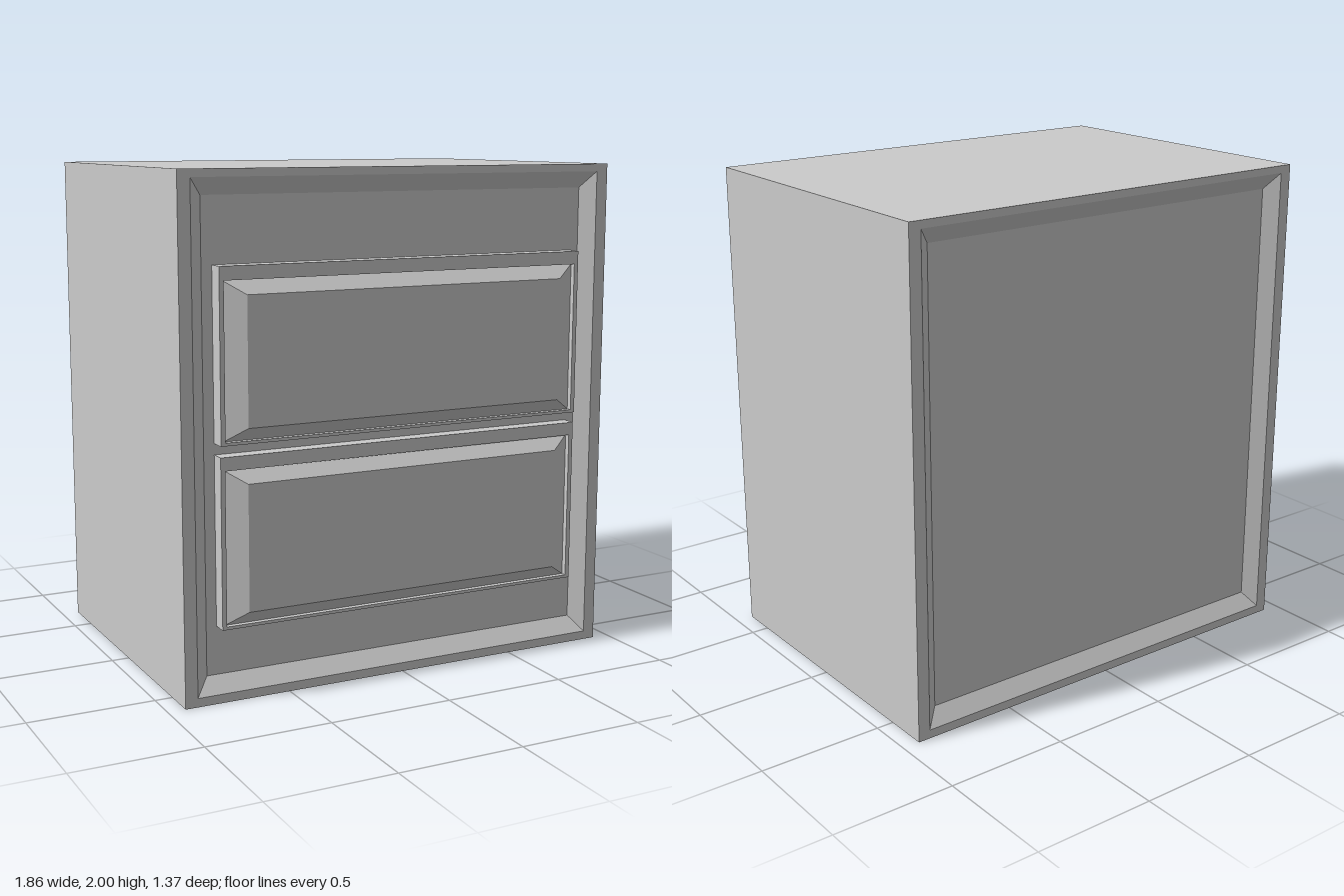
import * as THREE from 'three';

const material = new THREE.MeshStandardMaterial({ color: 0xcccccc, flatShading: true });

// Skin a back-to-front series of rectangles [halfWidth, bottom, top, z] and cap both ends.
function rectLoft(name, sections) {
  const rings = sections.map(([w, y0, y1, z]) => [[-w, y0, z], [w, y0, z], [w, y1, z], [-w, y1, z]]);
  const points = [];
  const quad = (a, b, c, d) => points.push(...a, ...b, ...c, ...a, ...c, ...d);

  for (let i = 0; i < rings.length - 1; i++) {
    for (let j = 0; j < 4; j++) {
      const k = (j + 1) % 4;
      quad(rings[i][j], rings[i][k], rings[i + 1][k], rings[i + 1][j]);
    }
  }
  quad(...rings[0].slice().reverse());
  quad(...rings[rings.length - 1]);

  const geometry = new THREE.BufferGeometry();
  geometry.setAttribute('position', new THREE.Float32BufferAttribute(points, 3));
  geometry.computeVertexNormals();
  const mesh = new THREE.Mesh(geometry, material);
  mesh.name = name;
  return mesh;
}

// Drawer front: a slab with a sunken opening, from which a bevelled panel rises.
function drawer(name, bottom, front) {
  const face = front - 0.021;
  const groove = front - 0.043;
  return rectLoft(name, [
    [0.783, bottom, bottom + 0.66, 0.59],
    [0.783, bottom, bottom + 0.66, face],
    [0.765, bottom + 0.012, bottom + 0.608, face],
    [0.765, bottom + 0.012, bottom + 0.608, groove],
    [0.682, bottom + 0.063, bottom + 0.555, front],
  ]);
}

export function createModel() {
  const model = new THREE.Group();
  model.name = 'nightstand';

  // Cabinet body with a sloped-edge recess in both the back and the front
  const back = -0.683, front = 0.64, depth = 0.045;
  model.add(rectLoft('cabinet', [
    [0.825, 0.1, 1.905, back + depth],
    [0.88, 0.035, 1.97, back],
    [0.93, 0, 2, back],
    [0.93, 0, 2, front],
    [0.88, 0.035, 1.97, front],
    [0.825, 0.1, 1.905, front - depth],
  ]));

  // Two stacked drawers, the upper one standing slightly prouder
  model.add(drawer('upperDrawer', 0.993, 0.683));
  model.add(drawer('lowerDrawer', 0.29, 0.677));
  return model;
}
